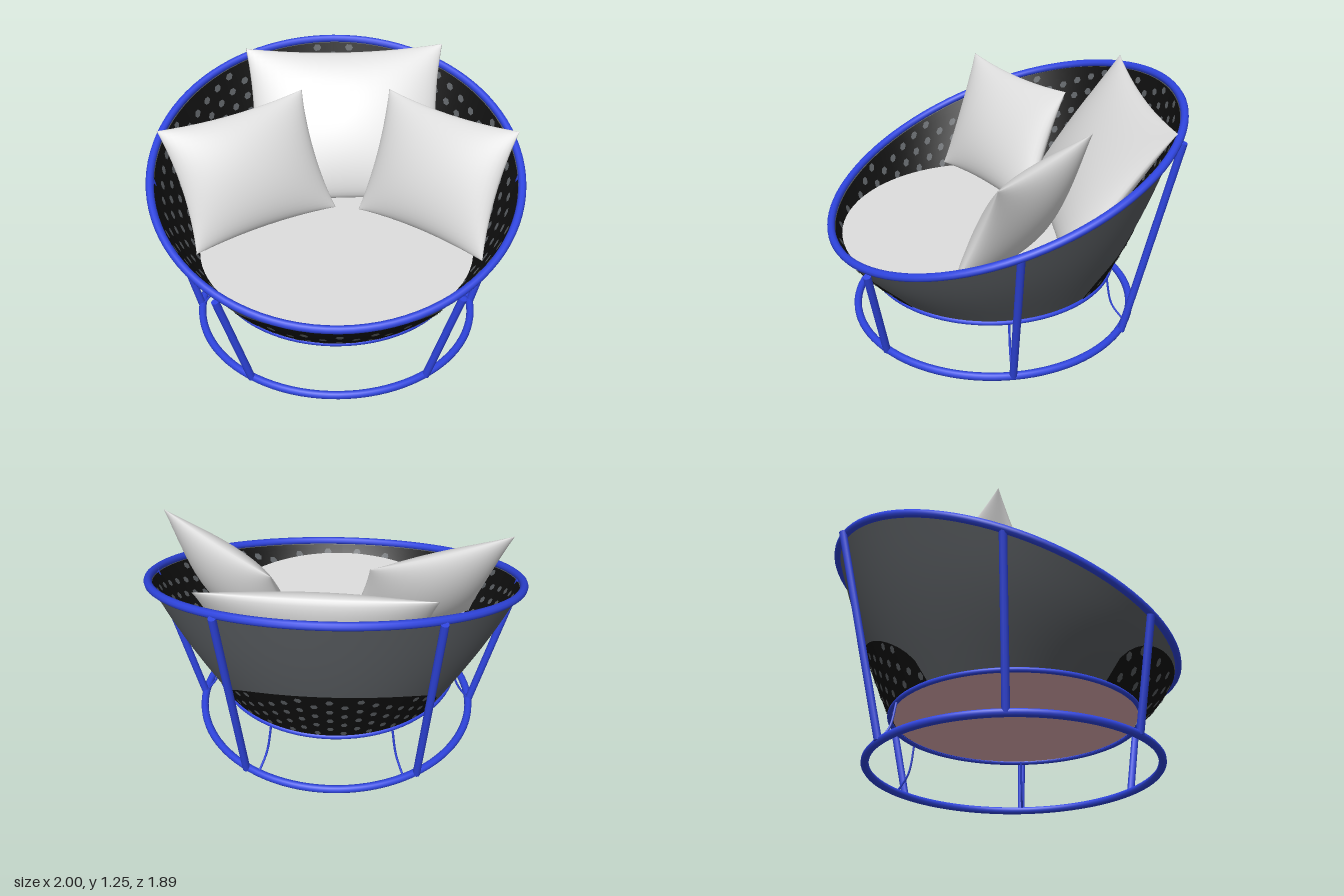
import * as THREE from 'three';
import { mergeGeometries, mergeVertices } from 'three/addons/utils/BufferGeometryUtils.js';

const mat = (name, color, side = THREE.FrontSide) => {
  const m = new THREE.MeshStandardMaterial({ color, side });
  m.name = name;
  return m;
};
const V = (x, y, z) => new THREE.Vector3(x, y, z);
const TAU = Math.PI * 2;

// Basket surface: angle a (0 = front), height t from lower ring to rim, outward offset
const basketHeight = (a) => 0.58 - 0.335 * Math.cos(a);
function basket(a, t, off = 0) {
  const s = Math.sin(a), c = Math.cos(a);
  const low = V(0.65 * s, 0.28, 0.06 + 0.655 * c);
  const high = V(0.967 * s, 0.28 + basketHeight(a), 0.912 * c);
  const r = off + 0.02 * Math.sin(Math.PI * t);
  return low.lerp(high, t).add(V(s * r, 0, c * r));
}

// Grid over part of the basket; top(a) gives the upper limit of t
function basketSheet(a0, a1, top, off, nu, nv) {
  const g = new THREE.PlaneGeometry(1, 1, nu, nv);
  const p = g.attributes.position, uv = g.attributes.uv;
  for (let i = 0; i < p.count; i++) {
    const a = a0 + (a1 - a0) * uv.getX(i);
    const q = basket(a, uv.getY(i) * top(a), off);
    p.setXYZ(i, q.x, q.y, q.z);
  }
  g.computeVertexNormals();
  return g;
}

// Staggered hexagon dots lying on the basket wherever t is below limit(a)
function basketDots(limit, off, r) {
  const pos = [], cols = 64, step = 0.085;
  for (let i = 0; i < cols; i++) {
    const a = (i / cols) * TAU, h = basketHeight(a);
    for (let y = step * (i % 2 ? 0.45 : 0.95); y < h * limit(a) - r; y += step) {
      const at = (k) => basket(a + r * Math.cos(k * TAU / 6) / 0.8, (y + r * Math.sin(k * TAU / 6)) / h, off);
      const c = basket(a, y / h, off);
      for (let k = 0; k < 6; k++) pos.push(...c, ...at(k), ...at(k + 1));
    }
  }
  const g = new THREE.BufferGeometry();
  g.setAttribute('position', new THREE.Float32BufferAttribute(pos, 3));
  g.computeVertexNormals();
  return g;
}

// Closed tube around an ellipse; rise lifts the back and lowers the front
function hoop(rx, rz, y, z, rise, tube) {
  const pts = [];
  for (let i = 0; i < 32; i++) {
    const a = (i / 32) * TAU;
    pts.push(V(rx * Math.sin(a), y - rise * Math.cos(a), z + rz * Math.cos(a)));
  }
  return new THREE.TubeGeometry(new THREE.CatmullRomCurve3(pts, true), 96, tube, 10, true);
}

function rod(a, b, r) {
  const g = new THREE.CylinderGeometry(r, r, a.distanceTo(b), 10);
  const q = new THREE.Quaternion().setFromUnitVectors(V(0, 1, 0), b.clone().sub(a).normalize());
  const m = a.clone().add(b).multiplyScalar(0.5);
  return g.applyQuaternion(q).translate(m.x, m.y, m.z);
}

// Stuffed pillow with pointed corners, from centre and half-side vectors
function pillow(center, hx, hy, thick) {
  const n = hx.clone().cross(hy).normalize();
  const halves = [1, -1].map((sign) => {
    const g = new THREE.PlaneGeometry(2, 2, 24, 24);
    g.deleteAttribute('uv');
    g.deleteAttribute('normal');
    const p = g.attributes.position;
    for (let i = 0; i < p.count; i++) {
      // sine spacing packs rows near the seam, where the surface curves most
      const u = Math.sin(p.getX(i) * Math.PI / 2) * sign, v = Math.sin(p.getY(i) * Math.PI / 2);
      const fu = Math.max(0, 1 - u * u), fv = Math.max(0, 1 - v * v);
      const q = center.clone()
        .addScaledVector(hx, u * (1 - 0.08 * fv))
        .addScaledVector(hy, v * (1 - 0.08 * fu))
        .addScaledVector(n, sign * thick * Math.pow(fu * fv, 0.58));
      p.setXYZ(i, q.x, q.y, q.z);
    }
    return g;
  });
  const g = mergeVertices(mergeGeometries(halves), 1e-4);
  g.computeVertexNormals();
  return g;
}

export function createModel() {
  const blue = mat('blue frame', 0x2f45e0);
  const grey = mat('grey fabric', 0x5c6064, THREE.DoubleSide);
  const black = mat('black mesh', 0x101010, THREE.DoubleSide);
  const white = mat('white cushion', 0xdedede);
  const pink = mat('pink underside', 0xe6b0b5);

  const model = new THREE.Group();
  const add = (name, geo, material, parent = model) => {
    const m = new THREE.Mesh(geo, material);
    m.name = name;
    parent.add(m);
  };
  const group = (name) => {
    const g = new THREE.Group();
    g.name = name;
    model.add(g);
    return g;
  };

  // Frame hoops
  const frame = group('frame');
  add('rim', hoop(0.98, 0.925, 0.875, 0, 0.335, 0.021), blue, frame);
  add('lowerRing', hoop(0.655, 0.66, 0.28, 0.06, 0, 0.013), blue, frame);
  add('baseRing', hoop(0.757, 0.765, 0.021, 0.05, 0, 0.021), blue, frame);

  // Posts and thin wires, mirrored left and right
  for (const s of [-1, 1]) {
    add('frontPost', rod(V(s * 0.45, 0.02, 0.675), V(s * 0.6, 0.58, 0.75), 0.02), blue, frame);
    add('sidePost', rod(V(s * 0.76, 0.02, 0.055), V(s * 0.975, 0.85, 0.055), 0.02), blue, frame);
    add('backPost', rod(V(s * 0.45, 0.02, -0.58), V(s * 0.525, 1.155, -0.81), 0.02), blue, frame);
    const wires = {
      sideWire: [V(s * 0.645, 0.28, 0.06), V(s * 0.69, 0.12, 0.06), V(s * 0.75, 0.03, 0.06)],
      backWire: [V(s * 0.315, 0.28, -0.52), V(s * 0.34, 0.12, -0.55), V(s * 0.38, 0.03, -0.615)],
    };
    for (const [name, pts] of Object.entries(wires))
      add(name, new THREE.TubeGeometry(new THREE.CatmullRomCurve3(pts), 12, 0.006, 6), blue, frame);
  }

  // Basket: grey outer skin, black dotted mesh inside
  const shell = group('basket');
  const full = () => 1;
  add('outerSkin', basketSheet(0, TAU, full, 0, 96, 12), grey, shell);
  add('innerMesh', basketSheet(0, TAU, full, -0.008, 96, 12), black, shell);
  add('innerDots', basketDots(full, -0.013, 0.02), grey, shell);

  // Areas low on the front and back where the mesh shows outside
  const patch = (mid, half, height) => (a) => {
    const d = Math.atan2(Math.sin(a - mid), Math.cos(a - mid)) / half;
    return Math.abs(d) < 1 ? height * Math.pow(1 - d * d, 0.5) : 0;
  };
  for (const [name, mid, half, height] of [['front', 0, 0.8, 0.93], ['back', Math.PI, 0.93, 0.42]]) {
    const limit = patch(mid, half, height);
    add(name + 'MeshPatch', basketSheet(mid - half, mid + half, limit, 0.004, 32, 8), black, shell);
    add(name + 'MeshDots', basketDots(limit, 0.008, 0.02), grey, shell);
  }

  // Seat cushion, leaning forward with the basket
  const seat = new THREE.CylinderGeometry(0.73, 0.645, 0.2, 72);
  const p = seat.attributes.position;
  for (let i = 0; i < p.count; i++) p.setZ(i, p.getZ(i) + 0.1 + p.getY(i) * 0.4);
  seat.translate(0, 0.385, 0);
  add('seatCushion', seat, [white, white, pink]);

  // Loose pillows
  const pillows = {
    backPillow: [V(0.06, 0.87, -0.49), V(0.56, 0.01, 0), V(0, 0.37, -0.255), 0.13],
    rightPillow: [V(-0.46, 0.83, -0.06), V(0.37, 0.015, -0.2), V(-0.09, 0.31, -0.11), 0.12],
    leftPillow: [V(0.525, 0.83, -0.02), V(0.31, 0.02, 0.285), V(0.085, 0.32, -0.11), 0.12],
  };
  for (const [name, args] of Object.entries(pillows)) add(name, pillow(...args), white);
  return model;
}
